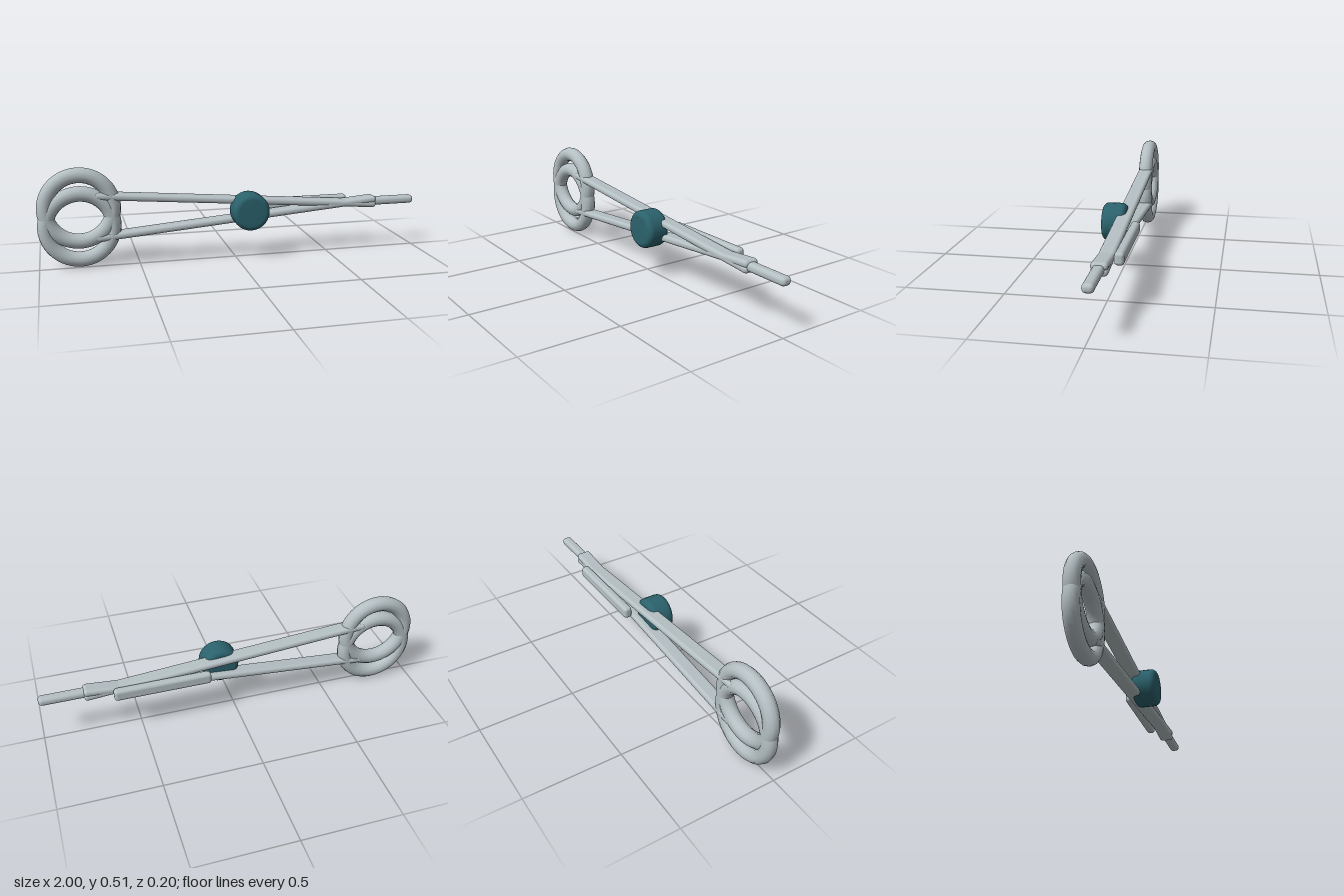
import * as THREE from 'three';
import { RoundedBoxGeometry } from 'three/addons/geometries/RoundedBoxGeometry.js';

const MID_Y = 0.2565; // height of the tool's long axis
const MID_Z = -0.016; // middle plane of the arms and rings

export function createModel() {
  const group = new THREE.Group();
  const steel = new THREE.MeshStandardMaterial({ color: 0xb5c0c4 });
  steel.name = 'pale steel';
  const teal = new THREE.MeshStandardMaterial({ color: 0x2b626d });
  teal.name = 'dark teal';

  function add(name, geometry, material, x, y, z, tilt = 0) {
    const mesh = new THREE.Mesh(geometry, material);
    mesh.name = name;
    mesh.position.set(x, y, z);
    mesh.rotation.z = tilt;
    group.add(mesh);
    return mesh;
  }

  // rounded bar between two x positions
  const bar = (length, height, depth, radius) => new RoundedBoxGeometry(length, height, depth, 3, radius);

  // finger rings and crossing arms, mirrored about the long axis
  for (const [side, s] of [['upper', 1], ['lower', -1]]) {
    add(side + 'FingerRing', new THREE.TorusGeometry(0.168, 0.039, 12, 48), steel,
      -0.793, MID_Y + s * 0.047, MID_Z);

    const x0 = -0.72, x1 = 0.776, y0 = 0.109, y1 = -0.0145;
    const length = Math.hypot(x1 - x0, y1 - y0);
    add(side + 'Arm', bar(length, 0.036, 0.078, 0.0165), steel,
      (x0 + x1) / 2, MID_Y + s * (y0 + y1) / 2, MID_Z, s * Math.atan2(y1 - y0, x1 - x0));
  }

  // slim tip and the bar along the back
  add('tip', bar(0.29, 0.043, 0.053, 0.019), steel, 0.852, MID_Y, -0.014);
  add('backBar', bar(0.495, 0.062, 0.045, 0.017), steel, 0.3875, MID_Y, -0.0775);

  // pivot knob with rounded rims, facing forward
  const profile = [new THREE.Vector2(0, -0.061)];
  const R = 0.097, H = 0.061, r = 0.028, steps = 5;
  for (const end of [-1, 1]) {
    for (let i = 0; i <= steps; i++) {
      const t = (i / steps) * Math.PI / 2;
      const a = end < 0 ? t - Math.PI / 2 : t;
      profile.push(new THREE.Vector2(R - r + r * Math.cos(a), end * (H - r) + r * Math.sin(a)));
    }
  }
  profile.push(new THREE.Vector2(0, H));
  const knob = new THREE.LatheGeometry(profile, 28);
  knob.rotateX(Math.PI / 2);
  add('pivotKnob', knob, teal, 0.066, MID_Y - 0.001, 0.039);

  return group;
}
